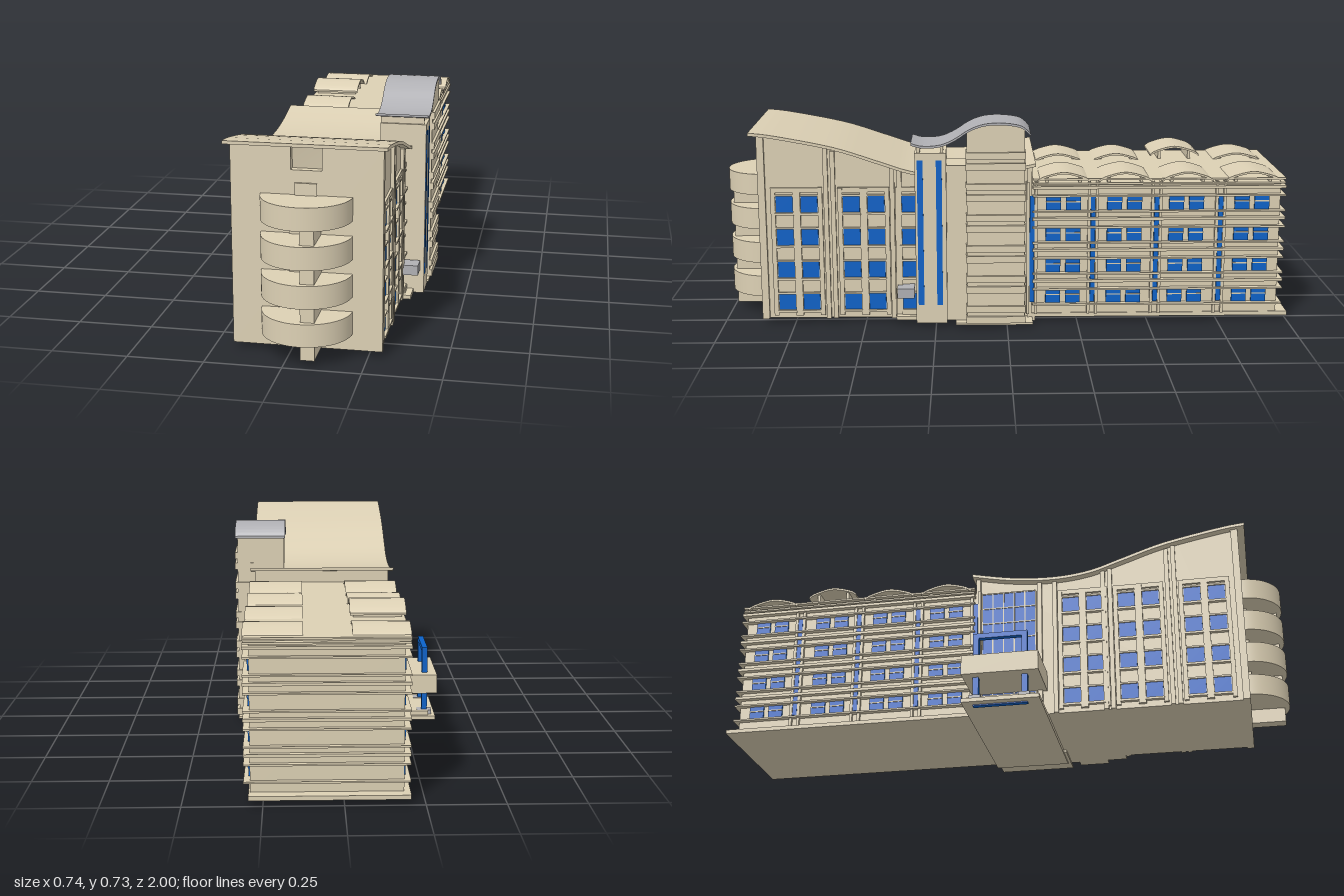
import * as THREE from 'three';
import { toCreasedNormals } from 'three/addons/utils/BufferGeometryUtils.js';

const wallMat = new THREE.MeshStandardMaterial({ color: 0xdcd0b4 });
const blueMat = new THREE.MeshStandardMaterial({ color: 0x0b62c8 });
const greyMat = new THREE.MeshStandardMaterial({ color: 0xb0b0b4 });

export function createModel() {
  const model = new THREE.Group();

  const add = (parent, name, geo, mat = wallMat) => {
    const mesh = new THREE.Mesh(geo, mat);
    mesh.name = name;
    parent.add(mesh);
    return mesh;
  };
  const group = (name) => {
    const g = new THREE.Group();
    g.name = name;
    model.add(g);
    return g;
  };
  // Box given by its limits on each axis
  const box = (parent, name, x0, x1, y0, y1, z0, z1, mat) => {
    const geo = new THREE.BoxGeometry(x1 - x0, y1 - y0, z1 - z0);
    geo.translate((x0 + x1) / 2, (y0 + y1) / 2, (z0 + z1) / 2);
    return add(parent, name, geo, mat);
  };
  // Side profile of [z, y] points extruded along x
  const prism = (parent, name, pts, x0, x1, mat) => {
    const shape = new THREE.Shape(pts.map(([z, y]) => new THREE.Vector2(z, y)));
    let geo = new THREE.ExtrudeGeometry(shape, { depth: x1 - x0, bevelEnabled: false });
    geo.rotateY(-Math.PI / 2).translate(x1, 0, 0);
    geo = toCreasedNormals(geo, 0.6);
    return add(parent, name, geo, mat);
  };
  const curve = (pts, n = 32) => new THREE.SplineCurve(pts.map(p => new THREE.Vector2(...p)))
    .getPoints(n).map(p => [p.x, p.y]);
  // Curved sheet of constant height
  const sheet = (parent, name, line, t, x0, x1, mat) =>
    prism(parent, name, [...line, ...line.map(([z, y]) => [z, y - t]).reverse()], x0, x1, mat);

  // ---- Front block under the sweeping roof ----
  const front = group('frontBlock');
  const roofLine = curve([[0.89, 0.689], [0.8, 0.678], [0.6, 0.638], [0.45, 0.59], [0.33, 0.552],
    [0.2, 0.538], [0.05, 0.548], [-0.1, 0.577]]);
  sheet(front, 'sweepingRoof', roofLine, 0.011, -0.205, 0.31);
  const under = roofLine.filter(([z]) => z < 0.85 && z > -0.09).map(([z, y]) => [z, y - 0.008]);
  prism(front, 'blockBody', [[0.84, 0.018], [0.84, 0.67], ...under, [-0.09, 0.565], [-0.09, 0.018]], -0.175, 0.283);

  // Front wall with a recessed opening below the roof
  const wall = new THREE.Shape([[-0.187, 0.018], [0.295, 0.018], [0.295, 0.675], [-0.187, 0.675]]
    .map(p => new THREE.Vector2(...p)));
  wall.holes.push(new THREE.Path([[0.005, 0.6], [0.005, 0.672], [0.103, 0.672], [0.103, 0.6]]
    .map(p => new THREE.Vector2(...p))));
  add(front, 'frontWall', new THREE.ExtrudeGeometry(wall, { depth: 0.025, bevelEnabled: false }).translate(0, 0, 0.84));

  // Half-round balconies on a central fin
  for (let i = 0; i < 4; i++) {
    const geo = new THREE.CylinderGeometry(0.145, 0.145, 0.075, 40, 1, false, -Math.PI / 2, Math.PI);
    geo.scale(1, 1, 0.138 / 0.145).translate(0.054, 0.11 + i * 0.1245, 0.862);
    add(front, 'balcony', geo);
  }
  box(front, 'balconyFin', 0.055, 0.1, 0.022, 0.46, 0.86, 0.982);
  box(front, 'balconyDoors', 0.0, 0.06, 0.14, 0.46, 0.86, 0.875);
  box(front, 'topDoor', 0.018, 0.088, 0.5, 0.56, 0.86, 0.872);

  const roofAt = (z) => {
    const i = roofLine.findIndex(p => p[0] <= z);
    return roofLine[Math.max(i, 0)][1];
  };
  // Pilasters, piers and framed windows on both long sides
  for (const side of [1, -1]) {
    const face = side > 0 ? 0.283 : -0.175;
    const relief = (name, d, y0, y1, z0, z1, mat) => side > 0
      ? box(front, name, face - 0.01, face + d, y0, y1, z0, z1, mat)
      : box(front, name, face - d, face + 0.01, y0, y1, z0, z1, mat);
    for (const z of [0.63, 0.605, 0.4, 0.375, 0.2, 0.145, -0.08])
      relief('pilaster', 0.012, 0.018, roofAt(z - 0.01) - 0.008, z - 0.008, z + 0.008);
    for (const mid of [0.733, 0.5, 0.3]) {
      relief('pier', 0.012, 0.03, 0.49, mid - 0.013, mid + 0.013);
      for (const s of [-1, 1]) {
        relief('jamb', 0.01, 0.03, 0.49, mid + s * 0.082 - 0.008, mid + s * 0.082 + 0.008);
        for (let f = 0; f < 4; f++) {
          const y = 0.078 + f * 0.118, z = mid + s * 0.043;
          relief('window', 0.004, y - 0.029, y + 0.029, z - 0.029, z + 0.029, blueMat);
          relief('windowSill', 0.014, y - 0.037, y - 0.029, z - 0.033, z + 0.033);
          relief('windowHead', 0.009, y + 0.029, y + 0.035, z - 0.033, z + 0.033);
        }
      }
      relief('panelHead', 0.008, 0.475, 0.492, mid - 0.09, mid + 0.09);
    }
  }

  // Gridded glass wall above the entrance
  box(front, 'glassWall', -0.183, -0.17, 0.03, 0.5, -0.065, 0.13, blueMat);
  for (let i = 0; i <= 5; i++) {
    const z = -0.065 + i * 0.039;
    box(front, 'mullion', -0.186, -0.175, 0.03, 0.5, z - 0.002, z + 0.002);
  }
  for (let i = 0; i <= 7; i++) {
    const y = 0.08 + i * 0.06;
    box(front, 'transom', -0.186, -0.175, y - 0.002, y + 0.002, -0.065, 0.13);
  }

  // ---- Entrance porch ----
  const porch = group('entrancePorch');
  box(porch, 'porchSlab', -0.365, 0.295, 0.004, 0.018, -0.1, 0.17);
  box(porch, 'porchStep', -0.34, -0.17, 0.018, 0.033, -0.085, 0.15);
  box(porch, 'porchCanopy', -0.37, -0.17, 0.105, 0.175, -0.1, 0.168);
  for (const z of [-0.055, 0.115]) {
    box(porch, 'porchPost', -0.337, -0.317, 0, 0.27, z - 0.01, z + 0.01, blueMat);
    box(porch, 'postBase', -0.353, -0.3, 0.018, 0.034, z - 0.02, z + 0.02, greyMat);
  }
  box(porch, 'topBeam', -0.337, -0.317, 0.252, 0.27, -0.065, 0.125, blueMat);
  box(porch, 'groundBeam', -0.337, -0.317, 0, 0.015, -0.065, 0.125, blueMat);

  // ---- Stair tower with wave roof ----
  const tower = group('stairTower');
  const wave = curve([[0.33, 0.661], [0.29, 0.651], [0.23, 0.655], [0.18, 0.676], [0.13, 0.708],
    [0.08, 0.726], [0.02, 0.73], [-0.04, 0.722], [-0.065, 0.707], [-0.08, 0.69]]);
  sheet(tower, 'waveRoof', wave, 0.008, 0.185, 0.365, greyMat);
  prism(tower, 'towerBody', [[0.14, 0.012], [0.14, 0.698], [0.08, 0.72], [0.02, 0.724], [-0.04, 0.716],
    [-0.06, 0.704], [-0.06, 0.012]], 0.19, 0.358);
  box(tower, 'towerLink', 0.2, 0.325, 0.018, 0.575, 0.13, 0.22);
  box(tower, 'glazedBay', 0.2, 0.358, 0.018, 0.625, 0.21, 0.318);
  for (const z of [0.235, 0.3])
    box(tower, 'tallWindow', 0.35, 0.36, 0.085, 0.6, z - 0.01, z + 0.01, blueMat);
  for (const z of [0.225, 0.305])
    box(tower, 'roofPost', 0.2, 0.35, 0.62, 0.65, z - 0.005, z + 0.005);
  // Stacked bulging bands, two per floor
  for (let f = 0; f < 6; f++)
    for (const y of [0.03 + f * 0.1095, 0.068 + f * 0.1095])
      prism(tower, 'towerBand', [[0.143, y - 0.012], [0.143, y + 0.012], [-0.063, y + 0.012], [-0.063, y - 0.012]], 0.3, 0.367);
  box(tower, 'towerSlab', 0.185, 0.36, 0.01, 0.018, -0.09, 0.18);
  box(tower, 'sideCanopy', 0.28, 0.345, 0.105, 0.14, 0.325, 0.385, greyMat);
  box(tower, 'sideStep', 0.28, 0.322, 0.018, 0.032, 0.31, 0.39);
  box(tower, 'sideUpperStep', 0.28, 0.3, 0.032, 0.046, 0.31, 0.37);

  // ---- Rear wing ----
  const rear = group('rearWing');
  box(rear, 'wingSlab', -0.205, 0.295, 0.018, 0.032, -1, -0.08);
  box(rear, 'wingBody', -0.185, 0.29, 0.03, 0.508, -0.96, -0.08);
  for (let f = 0; f < 4; f++) {
    const y = 0.095 + f * 0.1125;
    for (const [dy, t] of [[-0.028, 0.006], [0.028, 0.006], [0.058, 0.01]])
      box(rear, 'ledge', -0.205, 0.31, y + dy - t / 2, y + dy + t / 2, -0.976, -0.09);
  }
  for (const y of [0.49, 0.505, 0.52])
    box(rear, 'eavesLedge', -0.203, 0.308, y - 0.003, y + 0.003, -0.974, -0.09);

  const bays = [[-0.105, -0.29], [-0.32, -0.505], [-0.54, -0.72], [-0.765, -0.955]];
  bays.forEach(([z0, z1], b) => {
    const mid = (z0 + z1) / 2;
    for (const [x0, x1] of [[-0.191, -0.18], [0.285, 0.296]]) {
      // Blue strip between two pilasters at the start of the bay
      const zs = [-0.088, -0.302, -0.525, -0.75][b];
      box(rear, 'blueStrip', x0 - 0.004, x1 + 0.004, 0.075, 0.46, zs - 0.008, zs + 0.008, blueMat);
      for (const s of [-1, 1])
        box(rear, 'wingPilaster', x0 - 0.005, x1 + 0.005, 0.03, 0.51, zs + s * 0.014 - 0.005, zs + s * 0.014 + 0.005);
      for (let f = 0; f < 4; f++) {
        const y = 0.095 + f * 0.1125;
        for (const z of [mid - 0.035, mid + 0.035]) {
          box(rear, 'wingWindow', x0, x1, y - 0.024, y + 0.024, z - 0.026, z + 0.026, blueMat);
          box(rear, 'windowBar', x0 - 0.003, x1 + 0.003, y + 0.004, y + 0.008, z - 0.026, z + 0.026);
        }
      }
    }
    // Barrel vaults either side of a flat spine
    const vault = (name, x0, x1, lift) => {
      const arc = curve([[z0, 0.516 + lift], [z0 - 0.025, 0.531 + lift], [mid, 0.546 + lift],
        [z1 + 0.025, 0.531 + lift], [z1, 0.516 + lift]], 20);
      sheet(rear, name, arc, 0.007, x0, x1);
      for (const z of [z0 - 0.035, z1 + 0.035])
        box(rear, 'vaultSupport', x0 + 0.012, x1 - 0.012, 0.5, 0.529 + lift, z - 0.005, z + 0.005);
    };
    vault('leftVault', -0.205, -0.025, b === 2 ? 0.026 : 0);
    vault('rightVault', 0.125, 0.31, 0);
    box(rear, 'roofSpine', -0.025, 0.125, 0.5, 0.523, z1, z0);
  });

  return model;
}
